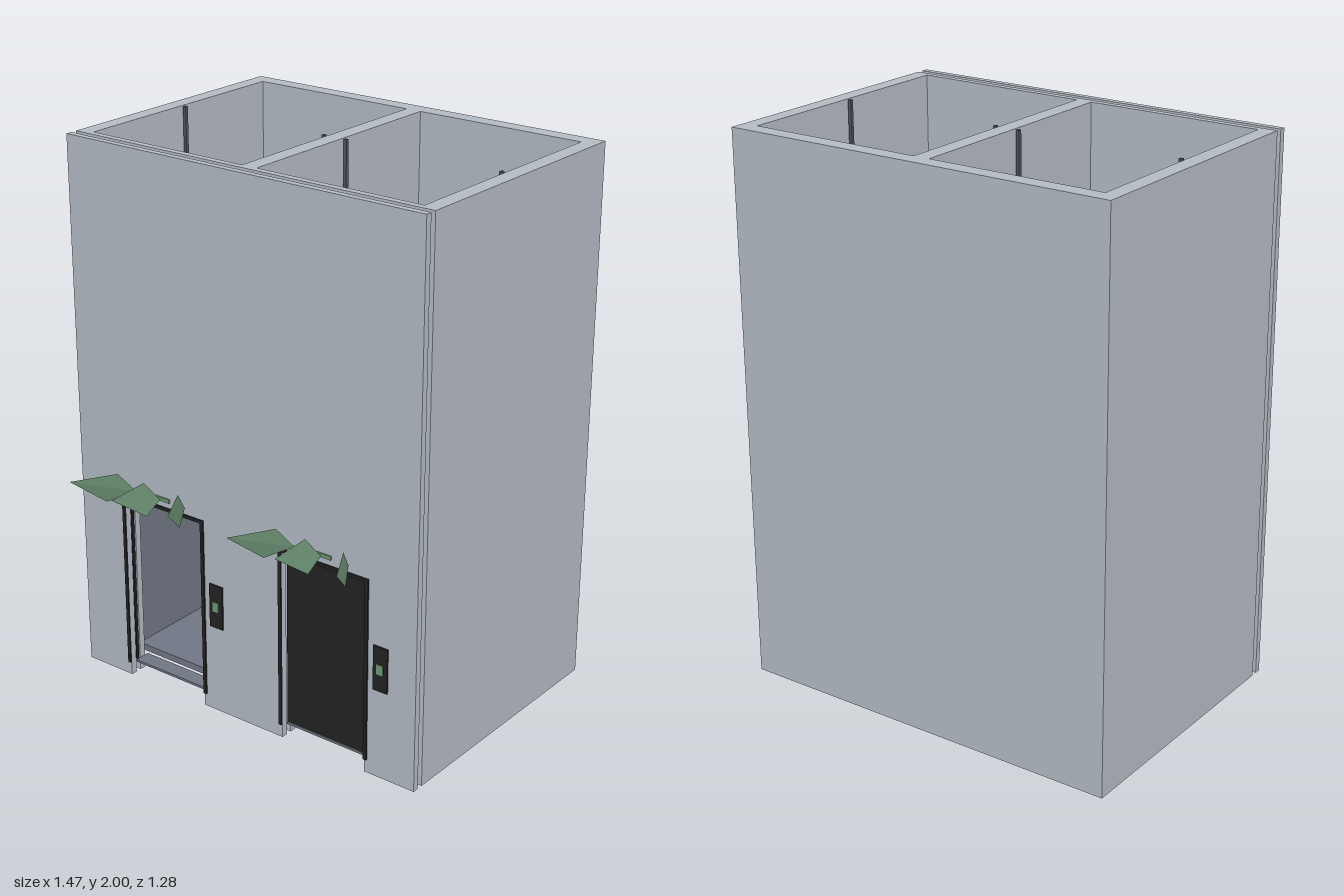
import * as THREE from 'three';

const mat = (name, color, side = THREE.FrontSide) => {
  const m = new THREE.MeshStandardMaterial({ color, side });
  m.name = name;
  return m;
};

export function createModel() {
  const concrete = mat('paleConcrete', 0xb3bac3);
  const steel = mat('slateSteel', 0x707684);
  const black = mat('blackMetal', 0x222222);
  const railGrey = mat('railGrey', 0x50555c);
  const green = mat('softGreen', 0x6f9877);
  const leafGreen = mat('leafGreen', 0x6b9073, THREE.DoubleSide);

  const model = new THREE.Group();
  model.name = 'twinLift';

  const add = (parent, name, geometry, material) => {
    const mesh = new THREE.Mesh(geometry, material);
    mesh.name = name;
    parent.add(mesh);
    return mesh;
  };
  // Box given by its minimum and maximum corners
  const box = (parent, name, material, [x0, y0, z0], [x1, y1, z1]) => {
    const g = new THREE.BoxGeometry(x1 - x0, y1 - y0, z1 - z0);
    g.translate((x0 + x1) / 2, (y0 + y1) / 2, (z0 + z1) / 2);
    return add(parent, name, g, material);
  };
  const polygon = (pts) => new THREE.Shape(pts.map(([x, y]) => new THREE.Vector2(x, y)));

  const W = 0.735, H = 2, DOOR_X = 0.353, HALF = 0.176, SILL = 0.05, DOOR_TOP = 0.72;

  // Shaft back, sides and divider: an E-shaped plan, open at top and bottom
  const zBack = -0.64, zInner = -0.58, zFront = 0.317;
  const plan = polygon([
    [-W, -zFront], [-0.677, -zFront], [-0.677, -zInner], [-0.03, -zInner], [-0.03, -zFront],
    [0.03, -zFront], [0.03, -zInner], [0.677, -zInner], [0.677, -zFront], [W, -zFront],
    [W, -zBack], [-W, -zBack],
  ]);
  const shaft = new THREE.ExtrudeGeometry(plan, { depth: H, bevelEnabled: false });
  shaft.rotateX(-Math.PI / 2);
  add(model, 'shaftWalls', shaft, concrete);

  // Front shaft wall and facade, both notched by two doorways down to the ground
  const notched = () => {
    const pts = [[-W, 0]];
    for (const c of [-DOOR_X, DOOR_X]) {
      pts.push([c - HALF, 0], [c - HALF, DOOR_TOP], [c + HALF, DOOR_TOP], [c + HALF, 0]);
    }
    pts.push([W, 0], [W, H], [-W, H]);
    return polygon(pts);
  };
  for (const [name, z0, z1] of [['shaftFrontWall', zFront, 0.342], ['facade', 0.364, 0.388]]) {
    const g = new THREE.ExtrudeGeometry(notched(), { depth: z1 - z0, bevelEnabled: false });
    g.translate(0, 0, z0);
    add(model, name, g, concrete);
  }

  // Guide rails on both sides of each shaft
  for (const x of [-0.66, -0.046, 0.046, 0.66]) {
    box(model, 'guideRail', railGrey, [x - 0.006, 0, -0.136], [x + 0.006, H, -0.124]);
  }

  // Cab: floor, roof, back and side walls, open at the front
  const cab = new THREE.Group();
  cab.name = 'cab';
  model.add(cab);
  const cx0 = -0.626, cx1 = -0.082, cy0 = 0.02, cy1 = 0.78, cz0 = -0.53, cz1 = 0.252, t = 0.015;
  box(cab, 'cabFloor', steel, [cx0, cy0, cz0], [cx1, 0.045, cz1]);
  box(cab, 'cabRoof', steel, [cx0, cy1 - t, cz0], [cx1, cy1, cz1]);
  box(cab, 'cabBack', steel, [cx0, 0.045, cz0], [cx1, cy1 - t, cz0 + t]);
  box(cab, 'cabRightWall', steel, [cx0, 0.045, cz0 + t], [cx0 + t, cy1 - t, cz1]);
  box(cab, 'cabLeftWall', steel, [cx1 - t, 0.045, cz0 + t], [cx1, cy1 - t, cz1]);

  // Diamond leaf blades relative to the doorway centre: root, upper, tip, lower
  const leaves = [
    [[-0.112, 0.761, 0.398], [-0.142, 0.841, 0.458], [-0.226, 0.842, 0.61], [-0.173, 0.736, 0.485]],
    [[-0.001, 0.761, 0.398], [-0.02, 0.841, 0.458], [-0.003, 0.845, 0.637], [0.017, 0.737, 0.49]],
    [[0.112, 0.761, 0.398], [0.136, 0.841, 0.458], [0.221, 0.842, 0.606], [0.165, 0.736, 0.485]],
  ];
  const leafGeometry = ([a, b, c, d]) => {
    const g = new THREE.BufferGeometry();
    g.setAttribute('position', new THREE.Float32BufferAttribute([a, b, c, a, c, d].flat(), 3));
    g.computeVertexNormals();
    return g;
  };

  // Landing entrance: sill, sliding doors, frame, call panel and leaf canopy
  const entrance = (name, cx, slide) => {
    const e = new THREE.Group();
    e.name = name;
    e.position.x = cx;
    model.add(e);

    box(e, 'sill', steel, [-HALF + 0.001, 0.041, 0.302], [HALF - 0.001, SILL, 0.363]);
    for (const s of [-1, 1]) {
      const a = s * slide, b = s * (slide + HALF);
      box(e, 'slidingDoor', black, [Math.min(a, b), SILL, 0.348], [Math.max(a, b), DOOR_TOP, 0.359]);
      const p = s * (HALF - 0.001), q = s * (HALF + 0.012);
      box(e, 'frameSide', black, [Math.min(p, q), SILL, 0.388], [Math.max(p, q), 0.732, 0.394]);
    }
    box(e, 'frameTop', black, [-HALF, DOOR_TOP, 0.388], [HALF, 0.732, 0.394]);

    box(e, 'callPanel', black, [0.212, 0.334, 0.388], [0.27, 0.5, 0.394]);
    box(e, 'callButton', green, [0.228, 0.398, 0.394], [0.254, 0.435, 0.397]);
    box(e, 'signBar', green, [-0.035, 0.754, 0.388], [0.035, 0.768, 0.394]);
    for (const leaf of leaves) add(e, 'leaf', leafGeometry(leaf), leafGreen);
  };
  entrance('openEntrance', -DOOR_X, HALF);
  entrance('closedEntrance', DOOR_X, 0);

  return model;
}
